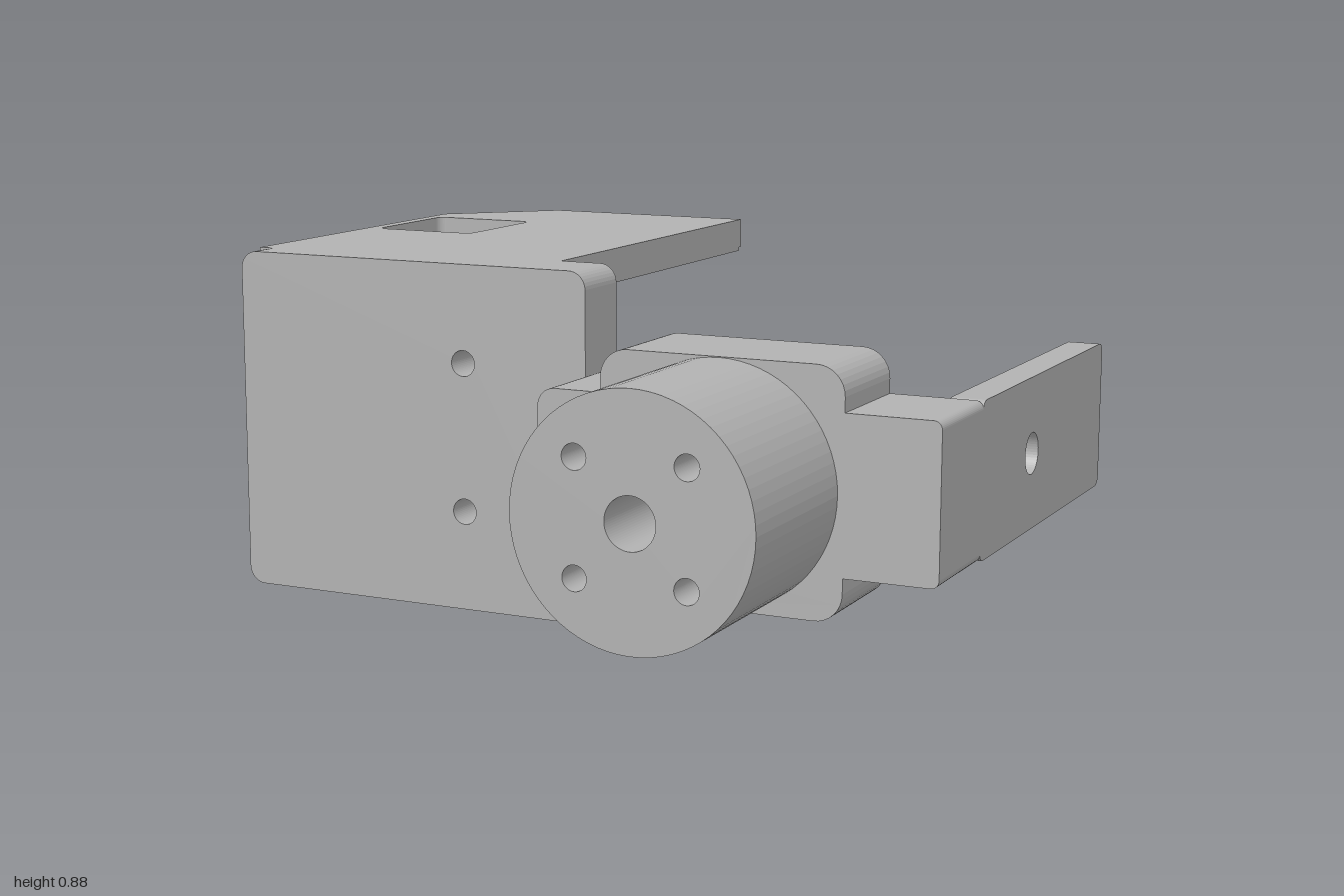
import * as THREE from 'three';

// Closed outline from [x, y, radius] corners; a radius rounds that corner
function trace(path, pts) {
  const n = pts.length;
  pts.forEach(([x, y, r = 0], i) => {
    const toward = ([px, py]) => {
      const d = Math.hypot(px - x, py - y);
      return [x + (px - x) * r / d, y + (py - y) * r / d];
    };
    const a = toward(pts[(i + n - 1) % n]), b = toward(pts[(i + 1) % n]);
    if (i === 0) path.moveTo(...a); else path.lineTo(...a);
    if (r) {
      const cx = a[0] + b[0] - x, cy = a[1] + b[1] - y; // arc centre of a right-angled corner
      const s = Math.atan2(a[1] - cy, a[0] - cx), e = Math.atan2(b[1] - cy, b[0] - cx);
      const turn = Math.atan2(Math.sin(e - s), Math.cos(e - s));
      for (let k = 1; k <= 8; k++) {
        const t = s + turn * k / 8;
        path.lineTo(cx + r * Math.cos(t), cy + r * Math.sin(t));
      }
    }
  });
  path.closePath();
  return path;
}
const rect = (x0, y0, x1, y1, r = 0) => [[x0, y0, r], [x1, y0, r], [x1, y1, r], [x0, y1, r]];
const hole = (x, y, r) => new THREE.Path().absarc(x, y, r, 0, Math.PI * 2, true);

export function createModel() {
  const model = new THREE.Group();
  model.name = 'motorBracket';
  const grey = new THREE.MeshStandardMaterial({ color: 0xb2b2b2 });
  grey.name = 'grey';

  function slab(name, shape, holes, depth, segments = 24) {
    shape.holes.push(...holes);
    const geo = new THREE.ExtrudeGeometry(shape, { depth, bevelEnabled: false, curveSegments: segments });
    const mesh = new THREE.Mesh(geo, grey);
    mesh.name = name;
    model.add(mesh);
    return mesh;
  }

  // Upright front plate with two screw holes
  slab('frontPlate', trace(new THREE.Shape(), rect(-1, 0, 0.005, 0.885, 0.045)),
    [hole(-0.34, 0.635, 0.033), hole(-0.34, 0.255, 0.033)], 0.17).position.z = 0.135;

  // Top and bottom plates, layered: solid skin, drilled core, thin inner lip
  const outline = (back) => trace(new THREE.Shape(),
    [[-1, -0.22], [-0.15, -0.22], [-0.15, back], [-0.75 - (0.98 - back), back], [-1, back - 0.245]]);
  const lipOutline = () => trace(new THREE.Shape(),
    [[-1, -0.22], [-0.15, -0.22], [-0.15, 0.967], [-0.755, 0.967], [-1, 0.727]]);
  const cutout = () => trace(new THREE.Path(), rect(-0.965, 0.31, -0.67, 0.65, 0.025));
  const screws = () => [-0.34, -0.62].flatMap((x) => [0.25, 0.83].map((y) => hole(x, y, 0.03)));
  const layers = [['Skin', 0, 0.045], ['Core', 0.045, 0.035], ['Lip', 0.08, 0.01]];
  for (const side of ['bottom', 'top']) {
    for (const [layer, from, depth] of layers) {
      const shape = layer === 'Lip' ? lipOutline() : outline(0.98);
      const holes = layer === 'Skin' ? [cutout()] : [cutout(), ...screws()];
      const mesh = slab(side + 'Plate' + layer, shape, holes, depth);
      mesh.geometry.rotateX(-Math.PI / 2);
      mesh.position.y = side === 'bottom' ? from : 0.885 - from - depth;
    }
  }

  // Motor mount: wide centre block with a flange on each side
  const cx = 0.46, cy = 0.443;
  const corners = [[-0.135, -0.135], [0.135, -0.135], [0.135, 0.135], [-0.135, 0.135]];
  const drill = (r) => [hole(cx, cy, 0.062), ...corners.map(([x, y]) => hole(cx + x, cy + y, r))];
  slab('motorMount', trace(new THREE.Shape(), [
    [-0.012, 0.252, 0.045], [0.155, 0.252], [0.155, 0.145, 0.07], [0.77, 0.145, 0.07],
    [0.77, 0.252], [1, 0.252, 0.02], [1, 0.634, 0.02], [0.77, 0.634],
    [0.77, 0.74, 0.07], [0.155, 0.74, 0.07], [0.155, 0.634], [-0.012, 0.634, 0.045],
  ]), drill(0.052), 0.285).position.z = 0.235;

  // Motor barrel
  slab('motorBarrel', new THREE.Shape().absarc(cx, cy, 0.295, 0, Math.PI * 2, false),
    drill(0.03), 0.46, 36).position.z = 0.52;

  // Side arm reaching backwards
  const arm = slab('sideArm', trace(new THREE.Shape(), rect(-0.24, 0.252, 0.742, 0.634, 0.025)),
    [hole(0.145, cy, 0.052)], 0.085);
  arm.geometry.rotateY(Math.PI / 2);
  arm.position.x = 0.915;

  return model;
}
